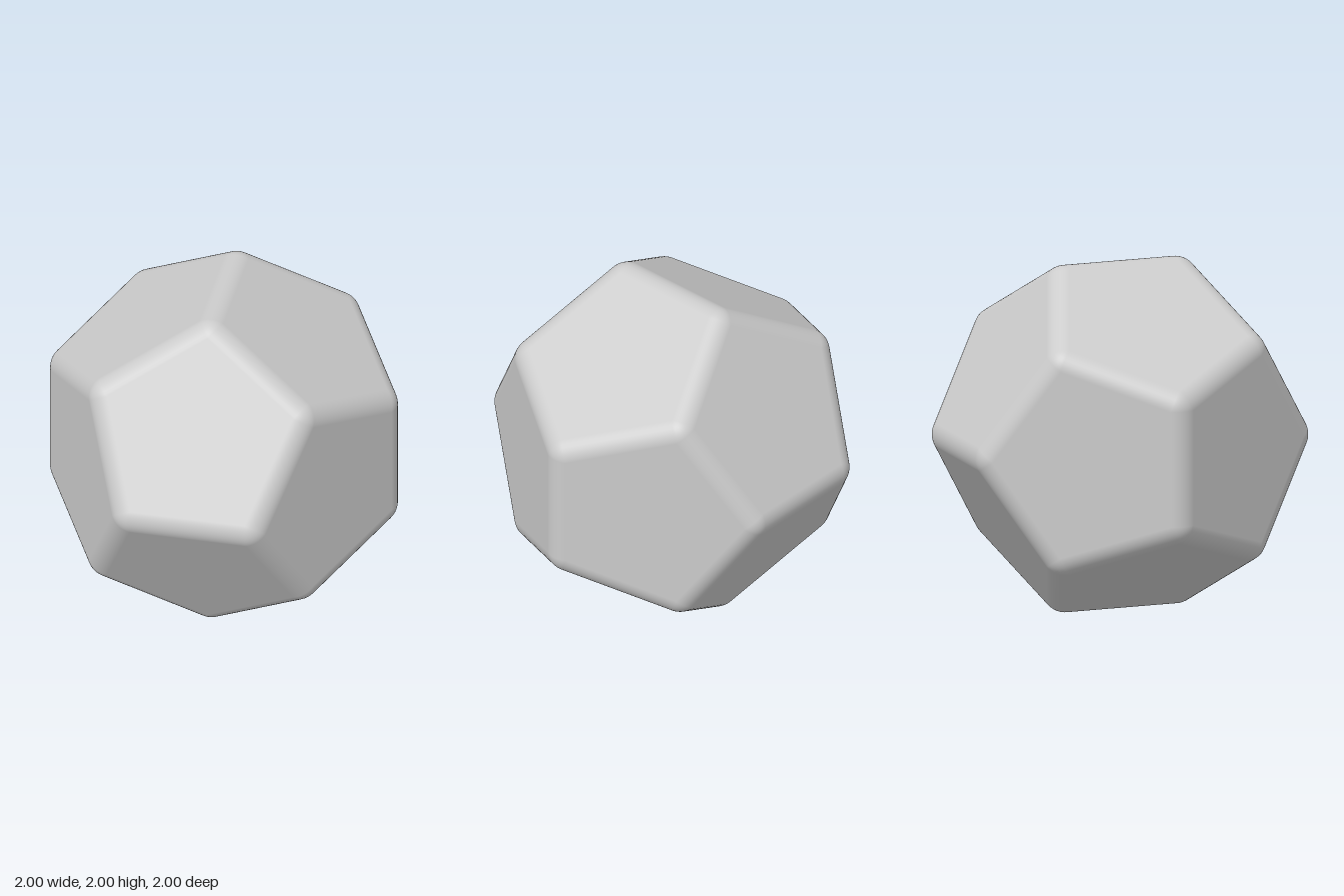
import * as THREE from 'three';

const PHI = (1 + Math.sqrt(5)) / 2;
const ROUND = 0.13; // radius of the rounded edges and corners
const SCALE = (1 - ROUND) / PHI; // size of the sharp core the rounding is added to
const STEPS = 8; // segments across each rounded edge

// All sign and axis permutations (cyclic) of (a, b, 0)
function cyclicPoints(a, b) {
  const points = [];
  for (const s of [1, -1]) {
    for (const t of [1, -1]) {
      const p = [s * a, t * b, 0];
      for (let k = 0; k < 3; k++) {
        points.push(new THREE.Vector3(p[k % 3], p[(k + 1) % 3], p[(k + 2) % 3]));
      }
    }
  }
  return points;
}

export function createModel() {
  // Twelve face directions and twenty core corners
  const normals = cyclicPoints(1, PHI).map((n) => n.normalize());
  const corners = cyclicPoints(PHI, 1 / PHI);
  for (const x of [1, -1]) for (const y of [1, -1]) for (const z of [1, -1]) corners.push(new THREE.Vector3(x, y, z));
  corners.forEach((c) => c.multiplyScalar(SCALE));

  const faceDistance = Math.max(...corners.map((c) => c.dot(normals[0])));
  const touches = (c, n) => c.dot(n) > faceDistance - 1e-4;

  const positions = [];
  const shading = [];
  const vertex = (corner, normal) => ({ p: corner.clone().addScaledVector(normal, ROUND), n: normal });

  // Adds a triangle, turned so that it faces outwards
  function triangle(a, b, c) {
    const facing = b.p.clone().sub(a.p).cross(c.p.clone().sub(a.p));
    const order = facing.dot(a.n) < 0 ? [a, c, b] : [a, b, c];
    for (const v of order) {
      positions.push(...v.p.toArray());
      shading.push(...v.n.toArray());
    }
  }

  // Flat pentagons
  for (const n of normals) {
    const ring = corners.filter((c) => touches(c, n));
    const u = ring[0].clone().addScaledVector(n, -faceDistance).normalize();
    const w = n.clone().cross(u);
    ring.sort((a, b) => Math.atan2(a.dot(w), a.dot(u)) - Math.atan2(b.dot(w), b.dot(u)));
    for (let i = 1; i < 4; i++) triangle(vertex(ring[0], n), vertex(ring[i], n), vertex(ring[i + 1], n));
  }

  // Direction blended between three face directions
  const blend = (a, b, c, i, j) =>
    new THREE.Vector3()
      .addScaledVector(a, (STEPS - i - j) / STEPS)
      .addScaledVector(b, i / STEPS)
      .addScaledVector(c, j / STEPS)
      .normalize();

  // Rounded edges: a strip of cylinder between each pair of neighbouring faces
  normals.forEach((a, ai) => {
    for (const b of normals.slice(ai + 1)) {
      const ends = corners.filter((c) => touches(c, a) && touches(c, b));
      if (ends.length !== 2) continue;
      for (let i = 0; i < STEPS; i++) {
        const n0 = blend(a, b, b, i, 0);
        const n1 = blend(a, b, b, i + 1, 0);
        triangle(vertex(ends[0], n0), vertex(ends[1], n0), vertex(ends[1], n1));
        triangle(vertex(ends[0], n0), vertex(ends[1], n1), vertex(ends[0], n1));
      }
    }
  });

  // Rounded corners: a patch of sphere where three faces meet
  for (const corner of corners) {
    const [a, b, c] = normals.filter((n) => touches(corner, n));
    const at = (i, j) => vertex(corner, blend(a, b, c, i, j));
    for (let i = 0; i < STEPS; i++) {
      for (let j = 0; j < STEPS - i; j++) {
        triangle(at(i, j), at(i + 1, j), at(i, j + 1));
        if (i + j < STEPS - 1) triangle(at(i + 1, j), at(i + 1, j + 1), at(i, j + 1));
      }
    }
  }

  const geometry = new THREE.BufferGeometry();
  geometry.setAttribute('position', new THREE.Float32BufferAttribute(positions, 3));
  geometry.setAttribute('normal', new THREE.Float32BufferAttribute(shading, 3));

  const body = new THREE.Mesh(geometry, new THREE.MeshStandardMaterial({ color: 0xcccccc }));
  body.name = 'roundedDodecahedron';
  body.position.y = 1;

  const group = new THREE.Group();
  group.name = 'twelveSidedDie';
  group.add(body);
  return group;
}
